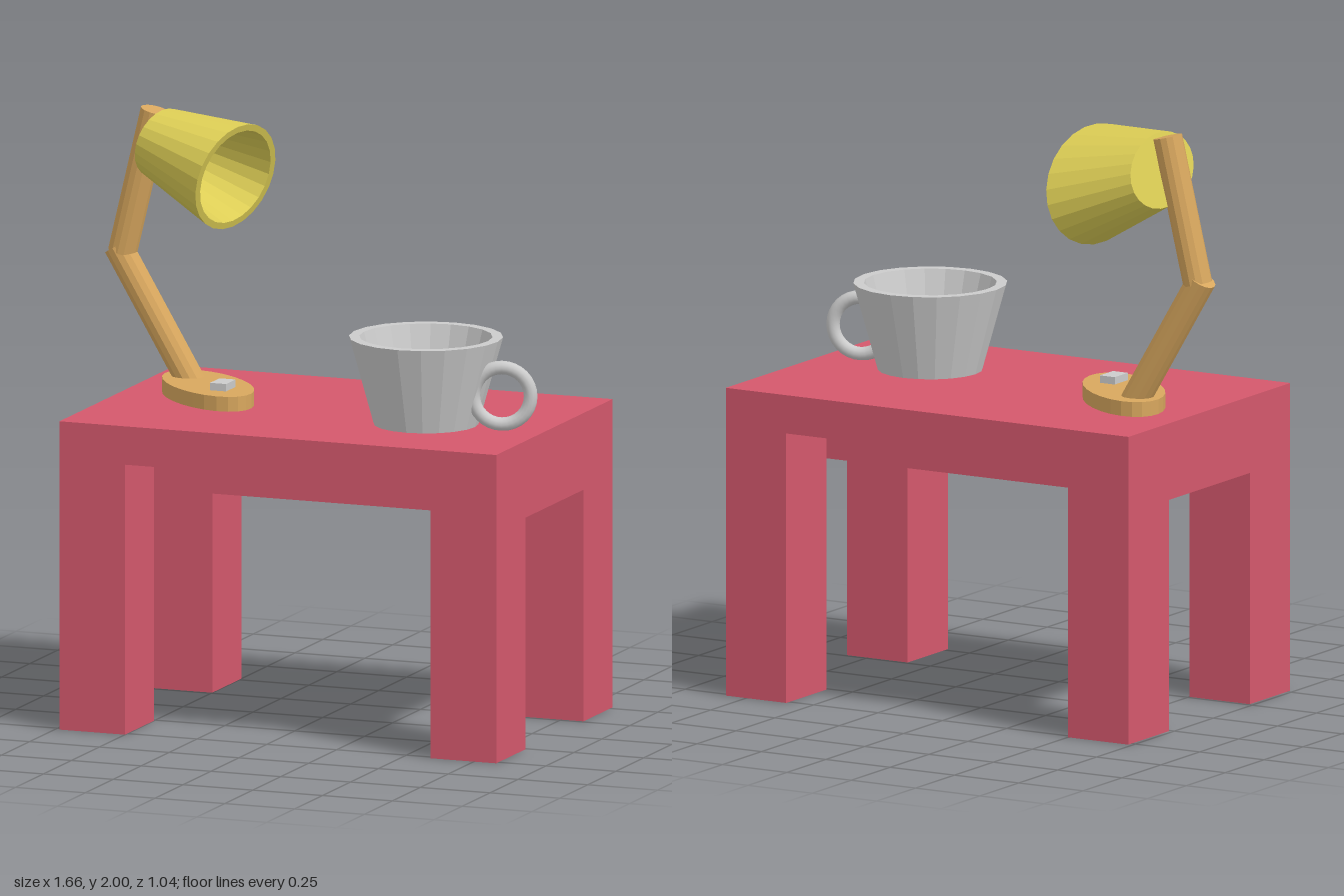
import * as THREE from 'three';

const mat = (color, flat = true) =>
  new THREE.MeshStandardMaterial({ color, flatShading: flat, side: THREE.DoubleSide });
const RED = mat(0xd4586c), WOOD = mat(0xd8a75e), YELLOW = mat(0xdccd55);
const GREY = mat(0xcccccc), SMOOTH_GREY = mat(0xcccccc, false);

function add(parent, name, geometry, material, x = 0, y = 0, z = 0) {
  const mesh = new THREE.Mesh(geometry, material);
  mesh.name = name;
  mesh.position.set(x, y, z);
  parent.add(mesh);
  return mesh;
}

function subgroup(parent, name) {
  const g = new THREE.Group();
  g.name = name;
  parent.add(g);
  return g;
}

// Thick-walled cup, open at the top; profile runs up the outside and down the inside
function cupGeometry(base, rim, height, innerRim, innerBase, floor, sides) {
  const profile = [[0, 0], [base, 0], [rim, height], [innerRim, height], [innerBase, floor], [0, floor]];
  return new THREE.LatheGeometry(profile.map(([x, y]) => new THREE.Vector2(x, y)), sides);
}

// Straight cylinder between two points
function rod(parent, name, from, to, radius) {
  const a = new THREE.Vector3(...from), b = new THREE.Vector3(...to);
  const dir = b.clone().sub(a);
  const mesh = add(parent, name, new THREE.CylinderGeometry(radius, radius, dir.length(), 14), WOOD);
  mesh.position.copy(a).lerp(b, 0.5);
  mesh.quaternion.setFromUnitVectors(new THREE.Vector3(0, 1, 0), dir.normalize());
  return mesh;
}

function buildTable(parent) {
  const table = subgroup(parent, 'table');
  const [x0, x1, in0, in1] = [-0.735, 0.83, -0.5, 0.595];
  const [low, mid, top, zIn, zOut] = [0.785, 0.915, 1.045, 0.26, 0.52];

  // Front and back arches: two legs joined by a shallow rail
  const arch = new THREE.Shape([
    [x0, 0], [in0, 0], [in0, mid], [in1, mid], [in1, 0], [x1, 0], [x1, top], [x0, top],
  ].map(([x, y]) => new THREE.Vector2(x, y)));
  const archGeo = new THREE.ExtrudeGeometry(arch, { depth: zOut - zIn, bevelEnabled: false });
  add(table, 'frontLegs', archGeo, RED, 0, 0, zIn);
  add(table, 'backLegs', archGeo, RED, 0, 0, -zOut);

  // Deeper slab along the middle
  add(table, 'tableTop', new THREE.BoxGeometry(x1 - x0, top - low, 2 * zIn), RED,
    (x0 + x1) / 2, (low + top) / 2, 0);
}

function buildCup(parent) {
  const cup = subgroup(parent, 'cup');
  cup.position.set(0.41, 1.045, 0.1);
  add(cup, 'cupBody', cupGeometry(0.175, 0.257, 0.295, 0.222, 0.154, 0.045, 20), GREY);
  const handle = add(cup, 'cupHandle', new THREE.TorusGeometry(0.096, 0.023, 12, 32), SMOOTH_GREY,
    0.277, 0.116, 0.012);
  handle.rotation.y = 0.28;
}

function buildLamp(parent) {
  const lamp = subgroup(parent, 'lamp');

  // Oval base set diagonally, with a switch
  const base = add(lamp, 'lampBase', new THREE.CylinderGeometry(1, 1, 0.05, 24), WOOD, -0.425, 1.07, -0.036);
  base.scale.set(0.252, 1, 0.128);
  base.rotation.y = -Math.PI / 4;
  add(lamp, 'switch', new THREE.BoxGeometry(0.058, 0.03, 0.085), GREY, -0.346, 1.105, 0.03);

  // Bent arm
  rod(lamp, 'lowerArm', [-0.515, 1.06, -0.132], [-0.787, 1.518, -0.132], 0.049);
  rod(lamp, 'upperArm', [-0.77, 1.5, -0.132], [-0.653, 1.988, -0.132], 0.049);

  // Oval shade: local y runs from the closed end to the opening
  const start = new THREE.Vector3(-0.642, 1.876, -0.15);
  const axis = new THREE.Vector3(1, -0.3, 0.18).normalize();
  const wide = new THREE.Vector3(0, 0.28, 0.96);
  wide.addScaledVector(axis, -wide.dot(axis)).normalize();
  const narrow = new THREE.Vector3().crossVectors(wide, axis);
  const shade = add(lamp, 'lampShade', cupGeometry(0.64, 1, 0.307, 0.88, 0.585, 0.055, 24), YELLOW);
  shade.position.copy(start);
  shade.quaternion.setFromRotationMatrix(new THREE.Matrix4().makeBasis(wide, axis, narrow));
  shade.scale.set(0.26, 1, 0.187);

  // Bulb on the inner floor of the shade
  const bulb = add(lamp, 'bulb', new THREE.SphereGeometry(0.037, 20, 14), SMOOTH_GREY);
  bulb.position.copy(start).addScaledVector(axis, 0.07);
}

export function createModel() {
  const model = new THREE.Group();
  model.name = 'tableWithLampAndCup';
  buildTable(model);
  buildCup(model);
  buildLamp(model);
  return model;
}
